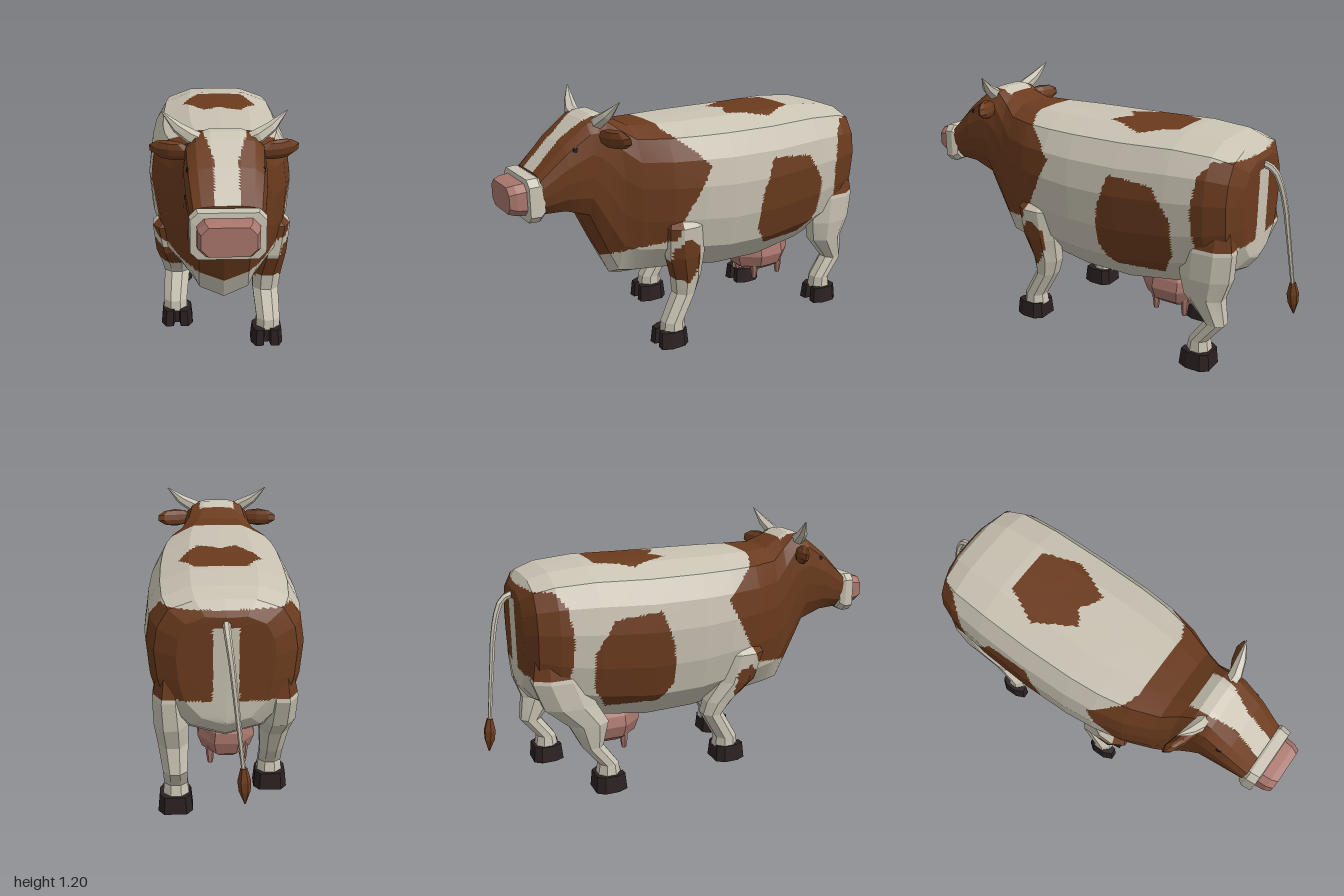
import * as THREE from 'three';

const mat = (name, hex) => {
  const m = new THREE.MeshStandardMaterial({ color: hex });
  m.name = name;
  return m;
};
const cream = mat('cream', 0xc9c3b3);
const brown = mat('brown', 0x6b3b1e);
const pink = mat('pink', 0xa9766c);
const hoofDark = mat('hoofDark', 0x2b2021);
const eyeDark = mat('eyeDark', 0x1d1a20);

const V = (x, y, z) => new THREE.Vector3(x, y, z);

function inside(poly, px, py) {
  let hit = false;
  for (let i = 0, j = poly.length - 1; i < poly.length; j = i++) {
    const [ax, ay] = poly[i], [bx, by] = poly[j];
    if (ay > py !== by > py && px < ((bx - ax) * (py - ay)) / (by - ay) + ax) hit = !hit;
  }
  return hit;
}

// Coat patches: side outlines as [z, y], back outline as [x, z]
const flank = [[-.22, .87], [-.44, .85], [-.53, .71], [-.53, .53], [-.465, .42], [-.22, .42], [-.15, .52], [-.16, .7]];
const hip = [[-.9, .985], [-.69, .985], [-.64, .92], [-.62, .76], [-.64, .6], [-.9, .6]];
const shoulder = [[.3, 1.2], [.3, 1.04], [.12, .88], [.3, .55], [.3, .3], [.95, .3], [.95, 1.2]];
const elbow = [[.245, .545], [.18, .51], [.165, .41], [.22, .315], [.31, .345], [.31, .49]];
const back = [[-.1, -.46], [.12, -.46], [.195, -.29], [.11, -.1], [.07, -.11], [0, -.155], [-.07, -.1], [-.18, -.29]];

// 0 = cream, 1 = brown
function coat({ x, y, z }) {
  const ax = Math.abs(x);
  if (y > 1 && inside(back, x, z)) return 1;
  if (inside(flank, z, y)) return 1;
  if (inside(hip, z, y)) return z < -.8 && ax < .055 && y < .92 ? 0 : 1;
  if (inside(shoulder, z, y) && y > .43 + .4 * ax) {
    const blaze = z < .6 ? .09 : Math.max(.05, .09 - (z - .6) * .33);
    return z > .51 && y > .86 && ax < blaze ? 0 : 1;
  }
  return 0;
}
const legCoat = (p) => (inside(elbow, p.z, p.y) ? 1 : coat(p));

// Skin over closed rings; finely split faces take their material from paint(point)
function loft(name, rings, mats, paint = null, cell = 1) {
  const bins = mats.map(() => []);
  const add = (a, b, c) => {
    const mid = a.clone().add(b).add(c).divideScalar(3);
    bins[paint ? paint(mid) : 0].push(...a.toArray(), ...b.toArray(), ...c.toArray());
  };
  const n = rings[0].length;
  for (let i = 0; i < rings.length - 1; i++) for (let j = 0; j < n; j++) {
    const k = (j + 1) % n;
    const a = rings[i][j], b = rings[i][k], c = rings[i + 1][k], d = rings[i + 1][j];
    const span = (p, q, r, s) => Math.max(1, Math.ceil(Math.max(p.distanceTo(q), r.distanceTo(s)) / cell));
    const nu = paint ? span(a, b, d, c) : 1, nv = paint ? span(a, d, b, c) : 1;
    const at = (u, v) => a.clone().lerp(b, u / nu).lerp(d.clone().lerp(c, u / nu), v / nv);
    for (let u = 0; u < nu; u++) for (let v = 0; v < nv; v++) {
      const p = at(u, v), q = at(u, v + 1), r = at(u + 1, v + 1), s = at(u + 1, v);
      add(p, q, r);
      add(p, r, s);
    }
  }
  const last = rings[rings.length - 1], first = rings[0];
  for (let j = 1; j < n - 1; j++) {
    add(last[0], last[j + 1], last[j]);
    add(first[0], first[j], first[j + 1]);
  }
  const geo = new THREE.BufferGeometry();
  geo.setAttribute('position', new THREE.Float32BufferAttribute(bins.flat(), 3));
  let start = 0;
  bins.forEach((bin, i) => {
    geo.addGroup(start, bin.length / 3, i);
    start += bin.length / 3;
  });
  geo.computeVertexNormals();
  const mesh = new THREE.Mesh(geo, mats.length > 1 ? mats : mats[0]);
  mesh.name = name;
  return mesh;
}

// Tapering limb along points, one radius per point
function taper(name, pts, radii, sides, material) {
  const rings = pts.map((p, i) => {
    const t = pts[Math.min(i + 1, pts.length - 1)].clone().sub(pts[Math.max(i - 1, 0)]).normalize();
    const u = V(0, 0, 1).cross(t).normalize();
    const w = t.clone().cross(u);
    return Array.from({ length: sides }, (_, k) => {
      const a = (-k / sides) * Math.PI * 2;
      return p.clone().addScaledVector(u, Math.cos(a) * radii[i]).addScaledVector(w, Math.sin(a) * radii[i]);
    });
  });
  return loft(name, rings, [material]);
}

// Half cross-sections: [share of half width, share of height]
const bodySection = [[0, 1], [.42, .995], [.79, .93], [.95, .8], [1, .64], [.96, .43], [.85, .24], [.5, .07], [0, 0]];
const headSection = [[0, 1], [.35, 1], [.7, .975], [.92, .89], [1, .7], [.98, .48], [.9, .26], [.66, .06], [0, 0]];

function bodyRing([z, top, bottom, half, head]) {
  const pts = bodySection.map(([x, y], i) => {
    const fx = THREE.MathUtils.lerp(x, headSection[i][0], head);
    const fy = THREE.MathUtils.lerp(y, headSection[i][1], head);
    return V(fx * half, bottom + fy * (top - bottom), z);
  });
  const mirrored = pts.slice(1, -1).reverse().map((p) => V(-p.x, p.y, p.z));
  return [...pts, ...mirrored];
}

// Rectangle with cut corners, facing z
function muzzleRing([z, h, y0, y1]) {
  const c = .03;
  return [[h - c, y1], [h, y1 - c], [h, y0 + c], [h - c, y0], [c - h, y0], [-h, y0 + c], [-h, y1 - c], [c - h, y1]]
    .map(([x, y]) => V(x, y, z));
}

// Eight-sided leg ring: y, front z, back z, centre x, half width
function legRing([y, zf, zb, cx, w], side, dz, dy) {
  const f = THREE.MathUtils.clamp((.5 - y) / .25, 0, 1);
  return Array.from({ length: 8 }, (_, k) => {
    const a = ((k + .5) / 8) * Math.PI * 2;
    return V(side * cx + Math.sin(a) * w * 1.08, y + dy * f, (zf + zb) / 2 + dz * f - (Math.cos(a) * (zf - zb) * 1.08) / 2);
  });
}

// Cloven hoof, notch towards +z
function hoof(x, y, z) {
  const half = [[.012, .03], [.018, .072], [.055, .075], [.077, .03], [.077, -.04], [.05, -.075]];
  const outline = [...half, ...half.slice().reverse().map(([a, b]) => [-a, b])];
  const geo = new THREE.ExtrudeGeometry(new THREE.Shape(outline.map(([a, b]) => new THREE.Vector2(a, -b))), { depth: .08, bevelEnabled: false });
  geo.rotateX(-Math.PI / 2);
  const p = geo.attributes.position;
  for (let i = 0; i < p.count; i++) if (p.getY(i) > .04) p.setXYZ(i, p.getX(i) * .9, p.getY(i), p.getZ(i) * .9);
  geo.computeVertexNormals();
  const mesh = new THREE.Mesh(geo, hoofDark);
  mesh.name = 'hoof';
  mesh.position.set(x, y, z);
  return mesh;
}

function ball(name, material, pos, scale, rot = [0, 0, 0]) {
  const geo = new THREE.SphereGeometry(1, 8, 5).toNonIndexed();
  geo.scale(...scale);
  geo.computeVertexNormals();
  const mesh = new THREE.Mesh(geo, material);
  mesh.name = name;
  mesh.position.set(...pos);
  mesh.rotation.set(...rot);
  return mesh;
}

export function createModel() {
  const cow = new THREE.Group();
  cow.name = 'cow';

  // Body, neck and head in one skin: z, top, bottom, half width, headness
  const body = [
    [-.82, .96, .5, 0, 0], [-.815, .965, .49, .2, 0], [-.77, 1.02, .43, .29, 0], [-.68, 1.05, .375, .325, 0],
    [-.5, 1.065, .31, .342, 0], [-.25, 1.06, .27, .35, 0], [0, 1.06, .275, .345, 0], [.15, 1.06, .3, .33, 0],
    [.3, 1.06, .315, .295, 0], [.43, 1.065, .32, .235, 0], [.5, 1.1, .335, .195, .4], [.555, 1.13, .455, .18, .7],
    [.6, 1.128, .56, .176, .9], [.64, 1.107, .655, .174, 1], [.75, 1.02, .7, .165, 1], [.87, .9, .71, .146, 1],
  ];
  cow.add(loft('body', body.map(bodyRing), [cream, brown], coat, .014));

  // Muzzle and nose
  cow.add(loft('muzzle', [[.855, .14, .715, .885], [.88, .153, .7, .895], [.925, .148, .7, .892], [.928, .125, .725, .872]].map(muzzleRing), [cream]));
  cow.add(loft('nose', [[.92, .124, .728, .872], [.97, .12, .733, .868], [1, .107, .742, .86]].map(muzzleRing), [pink]));

  // Legs: dz and dy move the lower leg for the walking pose
  const frontRings = [[.07, .34, .225, .225, .058], [.12, .335, .23, .225, .056], [.25, .265, .16, .215, .062],
    [.33, .275, .135, .22, .068], [.45, .315, .13, .243, .066], [.6, .325, .14, .27, .052], [.64, .3, .16, .24, .04]];
  const hindRings = [[.07, -.59, -.7, .215, .058], [.13, -.6, -.69, .215, .052], [.23, -.67, -.77, .215, .052],
    [.35, -.57, -.755, .222, .066], [.45, -.55, -.79, .228, .074], [.58, -.56, -.8, .235, .07], [.7, -.6, -.78, .23, .05]];
  const legs = [['frontLeg', frontRings, 1, 0, 0, .295], ['frontLeg', frontRings, -1, -.13, .045, .295],
    ['hindLeg', hindRings, 1, 0, 0, -.645], ['hindLeg', hindRings, -1, .19, 0, -.645]];
  for (const [name, rings, side, dz, dy, hz] of legs) {
    const leg = new THREE.Group();
    leg.name = name;
    leg.add(loft('limb', rings.map((r) => legRing(r, side, dz, dy)), [cream, brown], legCoat, .02));
    leg.add(hoof(side * .218, dy, hz + dz));
    cow.add(leg);
  }

  // Horns, ears and eyes
  for (const s of [1, -1]) {
    cow.add(taper('horn', [V(s * .08, 1.08, .59), V(s * .14, 1.105, .59), V(s * .195, 1.14, .575), V(s * .26, 1.203, .55)], [.03, .032, .024, .002], 6, cream));
    cow.add(ball('ear', brown, [s * .225, 1.04, .56], [.1, .045, .028], [.25, s * .35, s * -.05]));
    cow.add(ball('eye', eyeDark, [s * .146, .99, .71], [.014, .023, .02], [0, 0, s * -.35]));
  }

  // Udder with four teats
  const udder = [[.17, .075, .11], [.2, .12, .15], [.26, .142, .172], [.31, .13, .17], [.36, .1, .14]].map(([y, w, d]) =>
    Array.from({ length: 8 }, (_, k) => {
      const a = ((k + .5) / 8) * Math.PI * 2;
      return V(-.013 + Math.sin(a) * w, y, -.4 - Math.cos(a) * d);
    }));
  cow.add(loft('udder', udder, [pink]));
  for (const x of [-.092, .06]) for (const z of [-.33, -.485])
    cow.add(taper('teat', [V(x, .24, z), V(x, .17, z), V(x, .128, z)], [.024, .018, .012], 6, pink));

  // Tail and tuft
  const curve = new THREE.CatmullRomCurve3([V(0, .94, -.79), V(-.003, .91, -.86), V(-.018, .8, -.905), V(-.04, .6, -.935), V(-.065, .36, -.965)]);
  const tailPts = curve.getPoints(10);
  cow.add(taper('tail', tailPts, tailPts.map((_, i) => .017 - i * .0008), 6, cream));
  cow.add(taper('tuft', [V(-.065, .375, -.964), V(-.067, .32, -.968), V(-.069, .275, -.972), V(-.071, .22, -.978)], [.014, .028, .024, .003], 6, brown));

  return cow;
}
